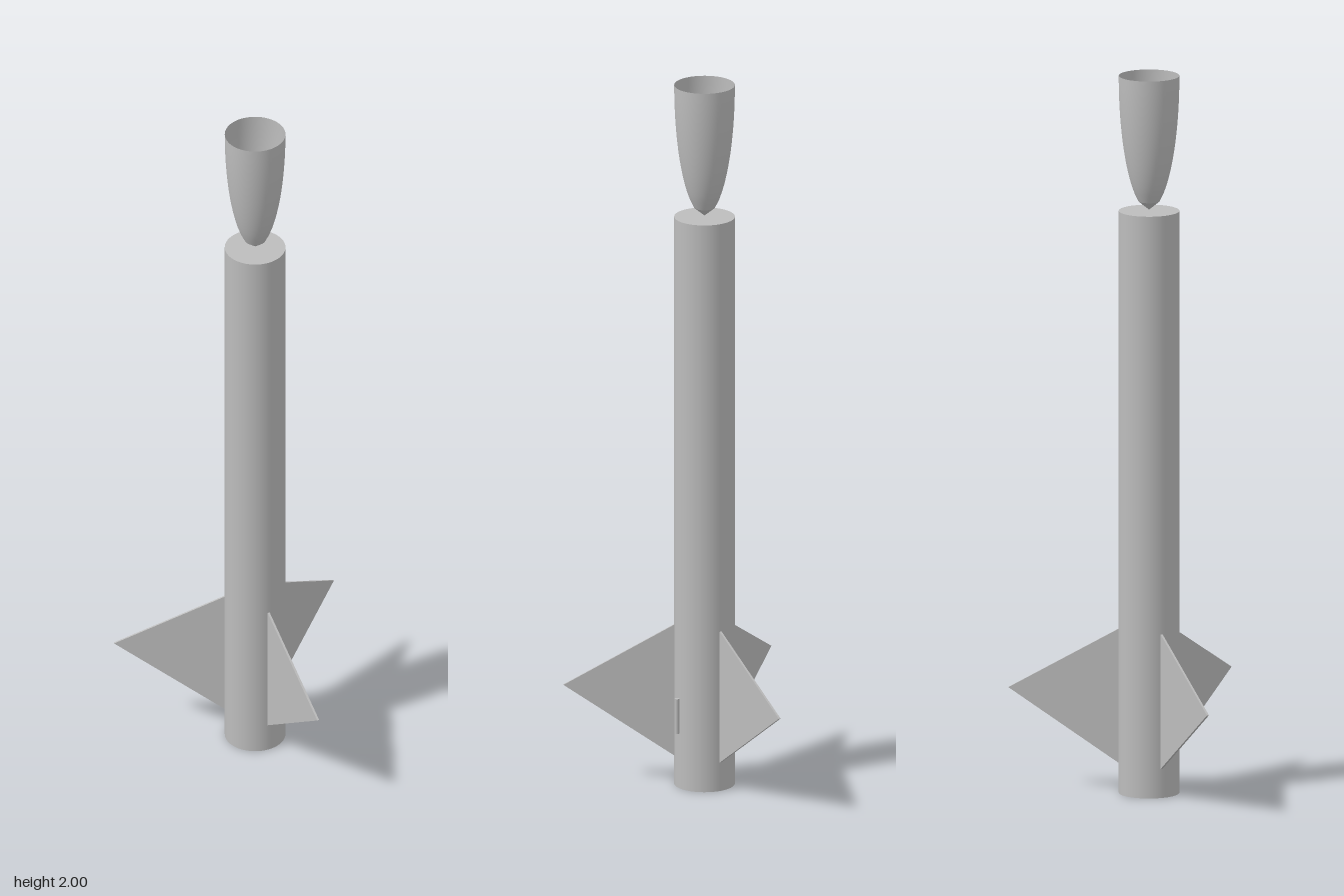
import * as THREE from 'three';

const R = 0.083;        // body radius
const BODY_TOP = 1.623;
const CENTRE_Z = 0.094; // tube axis, offset so the three fins are centred
const SIDES = 64;

export function createModel() {
  const grey = new THREE.MeshStandardMaterial({ color: 0xbcbcbc });
  grey.name = 'plain grey';
  const greyShell = new THREE.MeshStandardMaterial({ color: 0xbcbcbc, side: THREE.DoubleSide });
  greyShell.name = 'plain grey';

  const rocket = new THREE.Group();
  rocket.name = 'rocket';
  rocket.position.z = CENTRE_Z;

  const add = (name, geometry, material = grey) => {
    const mesh = new THREE.Mesh(geometry, material);
    mesh.name = name;
    rocket.add(mesh);
    return mesh;
  };

  // Body tube, capped at both ends
  add('bodyTube', new THREE.CylinderGeometry(R, R, BODY_TOP, SIDES)).position.y = BODY_TOP / 2;

  // Hollow elliptical nose, standing on its tip with the open end up
  const steps = 16;
  const profile = [];
  for (let i = 0; i <= steps; i++) {
    const t = i / steps;
    profile.push(new THREE.Vector2(
      R * Math.sqrt(1 - (1 - t) ** 2),
      BODY_TOP + 0.003 + t * (2 - BODY_TOP - 0.003)
    ));
  }
  add('noseTip', new THREE.LatheGeometry(profile.slice(0, 2), SIDES), greyShell);
  add('noseShell', new THREE.LatheGeometry(profile.slice(1), SIDES), greyShell);

  // Three thin triangular fins, 120 degrees apart
  const thickness = 0.006;
  const outline = new THREE.Shape([
    new THREE.Vector2(R - 0.002, 0.08),
    new THREE.Vector2(0.386, 0.287),
    new THREE.Vector2(R - 0.002, 0.457)
  ]);
  const finGeometry = new THREE.ExtrudeGeometry(outline, { depth: thickness, bevelEnabled: false });
  finGeometry.translate(0, 0, -thickness / 2);
  ['finBack', 'finFrontRight', 'finFrontLeft'].forEach((name, i) => {
    add(name, finGeometry).rotation.y = Math.PI / 2 + i * Math.PI * 2 / 3;
  });

  // Small launch lug on the left side
  add('launchLug', new THREE.CylinderGeometry(0.0065, 0.0065, 0.1, 24))
    .position.set(R + 0.006, 0.207, 0);

  const model = new THREE.Group();
  model.name = 'modelRocket';
  model.add(rocket);
  return model;
}
